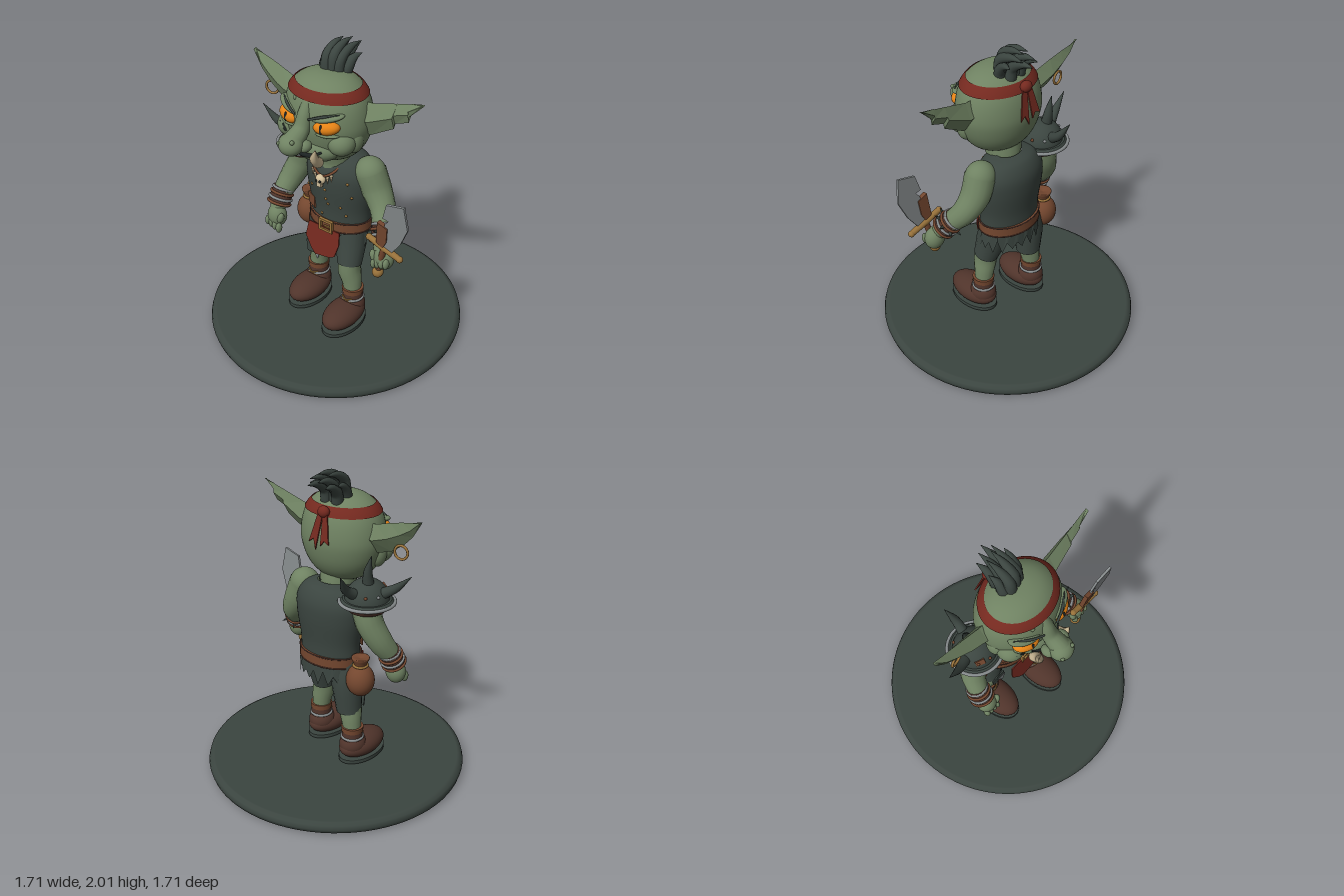
import * as THREE from 'three';

const V = (p) => new THREE.Vector3(...p);
const mat = (name, color) => {
  const m = new THREE.MeshStandardMaterial({ color, side: THREE.DoubleSide });
  m.name = name;
  return m;
};

export function createModel() {
  const skin = mat('green skin', 0x6f8262), cloth = mat('dark cloth', 0x3b4540), boot = mat('boot leather', 0x50342b);
  const brown = mat('brown leather', 0x74472f), red = mat('red cloth', 0x74291f), orange = mat('orange eye', 0xe88416);
  const tan = mat('brass', 0x97713a), bone = mat('bone', 0xd0bd98), steel = mat('steel', 0x858a8b), black = mat('black', 0x1c2222);
  const model = new THREE.Group();

  // ---- helpers ----
  const add = (name, geo, m, pos = [0, 0, 0], rot = [0, 0, 0], scale = [1, 1, 1], parent = model) => {
    const mesh = new THREE.Mesh(geo, m);
    mesh.name = name;
    mesh.position.set(...pos); mesh.rotation.set(...rot); mesh.scale.set(...scale);
    parent.add(mesh);
    return mesh;
  };
  const sphere = new THREE.SphereGeometry(1, 32, 20), bead = new THREE.SphereGeometry(1, 10, 8);
  const ball = (name, m, pos, r, rot) => add(name, sphere, m, pos, rot, r.length ? r : [r, r, r]);
  const dot = (name, m, pos, r) => add(name, bead, m, pos, undefined, [r, r, r]);
  // tube along points, thickness given at each point
  const taper = (name, m, pts, radii, seg = 20, sides = 16, parent = model) => {
    const curve = new THREE.CatmullRomCurve3(pts.map(V));
    const geo = new THREE.TubeGeometry(curve, seg, 1, sides), a = geo.attributes.position, v = new THREE.Vector3();
    for (let i = 0; i < a.count; i++) {
      const t = Math.floor(i / (sides + 1)) / seg, f = t * (radii.length - 1), k = Math.min(Math.floor(f), radii.length - 2);
      const c = curve.getPointAt(t), r = THREE.MathUtils.lerp(radii[k], radii[k + 1], f - k);
      v.fromBufferAttribute(a, i).sub(c).multiplyScalar(r).add(c);
      a.setXYZ(i, v.x, v.y, v.z);
    }
    return add(name, geo, m, undefined, undefined, undefined, parent);
  };
  const plate = (name, m, pts, depth, pos, rot) => add(name, new THREE.ExtrudeGeometry(
    new THREE.Shape(pts.map((p) => new THREE.Vector2(...p))), { depth, bevelEnabled: false }), m, pos, rot);
  const lathe = (pts, n = 48) => new THREE.LatheGeometry(pts.map((p) => new THREE.Vector2(Math.max(p[0], 0), p[1])), n);
  const smooth = (pts, n = 36) => new THREE.SplineCurve(pts.map((p) => new THREE.Vector2(...p))).getPoints(n).map((p) => [p.x, p.y]);
  const ring = (name, m, pos, r, tube, rot = [Math.PI / 2, 0, 0], scale, parent) =>
    add(name, new THREE.TorusGeometry(r, tube, 10, 36), m, pos, rot, scale, parent);
  const radiusAt = (prof, y) => {
    const k = Math.max(1, prof.findIndex((p) => p[1] >= y)), [a, b] = [prof[k - 1], prof[k]];
    return THREE.MathUtils.lerp(a[0], b[0], (y - a[1]) / (b[1] - a[1]));
  };

  // ---- base ----
  add('base', lathe([[0, 0], [0.815, 0], [0.825, 0], [0.848, 0.012], [0.855, 0.037], [0.848, 0.062], [0.825, 0.075], [0.815, 0.075], [0, 0.075]], 80), cloth);

  // ---- legs and boots ----
  for (const s of [1, -1]) {
    const dz = s > 0 ? 0 : -0.09, hem = s > 0 ? 0.51 : 0.44;
    taper('shortsLeg', cloth, [[s * 0.115 + 0.01, 0.8, -0.02], [s * 0.135, 0.66, 0.01 + dz * 0.6], [s * 0.15, hem, 0.05 + dz]], [0.1, 0.1, 0.082]);
    taper('shin', skin, [[s * 0.15, 0.56, 0.05 + dz], [s * 0.155, 0.47, 0.055 + dz], [s * 0.17, 0.38, 0.05 + dz], [s * 0.185, 0.24, 0.05 + dz]], [0.068, 0.077, 0.062, 0.055]);
    add('sole', new THREE.CylinderGeometry(1, 1, 0.025, 40), cloth, [s * 0.18, 0.1, 0.145 + dz], undefined, [0.115, 1, 0.188]);
    ball('boot', boot, [s * 0.18, 0.168, 0.145 + dz], [0.112, 0.082, 0.186]);
    ball('bootHeel', boot, [s * 0.18, 0.195, 0.06 + dz], [0.088, 0.08, 0.095]);
    const c = [s * 0.18, 0, 0.05 + dz];
    add('ankleCuff', new THREE.CylinderGeometry(0.066, 0.07, 0.1, 28), boot, [c[0], 0.27, c[2]]);
    add('ankleBand', new THREE.CylinderGeometry(0.073, 0.071, 0.035, 28), brown, [c[0], 0.315, c[2]]);
    ring('ankleWire', steel, [c[0], 0.255, c[2]], 0.069, 0.009);
    for (const t of [1, -1]) taper('bootLace', tan, [[c[0] - 0.04, 0.26 - t * 0.015, c[2] + 0.062], [c[0], 0.26, c[2] + 0.077], [c[0] + 0.04, 0.26 + t * 0.015, c[2] + 0.062]], [0.005, 0.005], 6, 6);
  }
  plate('kneePatch', cloth, [[-0.06, 0.04], [0.05, 0.05], [0.06, -0.04], [-0.05, -0.05]], 0.008, [-0.15, 0.5, 0.045]);
  plate('kneeScrap', steel, [[-0.04, 0.03], [0.035, 0.02], [0.01, -0.05]], 0.009, [-0.125, 0.47, 0.048]);

  // ---- torso, elliptical in plan ----
  const vest = smooth([[0.2, 0.74], [0.213, 0.82], [0.218, 0.92], [0.243, 1.08], [0.238, 1.19], [0.18, 1.27], [0.09, 1.3]]);
  const TX = 0.02, TZ = -0.03, TS = 0.69;
  const chestZ = (x, y) => TZ + TS * Math.sqrt(Math.max(0, radiusAt(vest, y) ** 2 - (x - TX) ** 2));
  add('vest', lathe(vest), cloth, [TX, 0, TZ], undefined, [1, 1, TS]);
  ball('hips', cloth, [TX, 0.75, TZ], [0.2, 0.09, 0.14]);
  taper('neck', skin, [[0.01, 1.2, 0.03], [0.01, 1.27, 0.03], [0.01, 1.38, 0.05]], [0.09, 0.115, 0.12]);
  // ragged hem, alternating lower points
  const hem = new THREE.CylinderGeometry(0.215, 0.225, 0.1, 22, 1, true, Math.PI * 0.42, Math.PI * 1.16), hp = hem.attributes.position;
  for (let i = 23; i < hp.count; i++) hp.setY(i, -0.05 + (i % 2 ? -0.045 : 0.025) + 0.015 * Math.sin(i * 2.3));
  add('raggedHem', hem.toNonIndexed(), cloth, [TX, 0.745, TZ], undefined, [1, 1, 0.72]).geometry.computeVertexNormals();
  // belt and loincloth
  add('belt', new THREE.CylinderGeometry(0.221, 0.221, 0.068, 48), brown, [TX, 0.805, TZ], undefined, [1, 1, 0.745]);
  for (const y of [0.772, 0.838]) ring('beltEdge', boot, [TX, y, TZ], 0.22, 0.005, undefined, [1, 0.745, 1]);
  const frame = new THREE.Shape([[-0.053, -0.043], [0.053, -0.043], [0.053, 0.043], [-0.053, 0.043]].map((p) => new THREE.Vector2(...p)));
  frame.holes.push(new THREE.Path([[-0.036, -0.026], [-0.036, 0.026], [0.036, 0.026], [0.036, -0.026]].map((p) => new THREE.Vector2(...p))));
  add('buckle', new THREE.ExtrudeGeometry(frame, { depth: 0.02, bevelEnabled: false }), tan, [0.03, 0.807, 0.132]);
  add('bucklePin', new THREE.BoxGeometry(0.045, 0.009, 0.012), tan, [0.045, 0.807, 0.15]);
  plate('loincloth', red, [[-0.125, 0], [0.12, 0], [0.125, -0.09], [0.1, -0.18], [0.065, -0.2], [-0.05, -0.22], [-0.085, -0.19], [-0.14, -0.11]], 0.009, [0.015, 0.785, 0.132], [-0.15, 0, 0]);
  // patches and studs on the vest
  plate('vestPatch', brown, [[-0.045, -0.04], [0.045, -0.042], [0.042, 0.04], [-0.045, 0.038]], 0.009, [-0.125, 0.915, chestZ(-0.125, 0.915) - 0.002], [0, -0.45, 0]);
  for (const [x, y] of [[0.035, 0.965], [0.12, 0.96], [-0.1, 1.06], [0.17, 1.15], [-0.02, 0.87], [0.02, 1.07], [0.02, 1.0], [0.15, 0.9], [-0.16, 1.02], [0.19, 1.05]])
    dot('vestStud', tan, [x, y, chestZ(x, y)], 0.009);
  // skull necklace
  taper('necklaceCord', brown, [[-0.1, 1.27, 0.06], [-0.075, 1.21, 0.128], [0, 1.17, 0.145], [0.075, 1.21, 0.128], [0.11, 1.27, 0.06]], [0.008, 0.008], 24, 8);
  ball('skull', bone, [0, 1.15, 0.155], [0.035, 0.032, 0.026]);
  add('skullJaw', new THREE.BoxGeometry(0.034, 0.028, 0.025), bone, [0, 1.117, 0.162]);
  for (const s of [1, -1]) {
    dot('skullSocket', black, [s * 0.014, 1.147, 0.178], 0.009);
    for (const [x, y] of [[0.05, 1.165], [0.075, 1.185]])
      add('necklaceTooth', new THREE.ConeGeometry(0.011, 0.05, 8), bone, [s * x, y - 0.015, chestZ(s * x, y) + 0.012], [Math.PI, 0, 0]);
  }
  // belt pouch
  ball('pouch', brown, [-0.26, 0.71, -0.06], [0.092, 0.108, 0.09]);
  add('pouchNeck', lathe(smooth([[0.065, 0.78], [0.04, 0.815], [0.058, 0.865], [0.04, 0.87], [0, 0.86]], 16), 24), brown, [-0.26, 0, -0.06]);
  ring('pouchTie', tan, [-0.26, 0.815, -0.06], 0.044, 0.008);

  // ---- arms ----
  const bracer = (pos, dir, spikes) => {
    const g = new THREE.Group();
    g.name = 'bracer';
    g.position.set(...pos);
    g.quaternion.setFromUnitVectors(new THREE.Vector3(0, 1, 0), V(dir).normalize());
    model.add(g);
    add('bracerSleeve', new THREE.CylinderGeometry(0.068, 0.075, 0.12, 28), boot, undefined, undefined, undefined, g);
    [[-0.05, brown, 0.074], [-0.018, steel, 0.073], [0.018, brown, 0.072], [0.05, steel, 0.067]].forEach(([y, m, r]) => ring('bracerBand', m, [0, y, 0], r, 0.009, undefined, undefined, g));
    for (let i = 0; i < spikes; i++) {
      const a = i / spikes * Math.PI * 2, d = [Math.sin(a), 0, Math.cos(a)];
      taper('bracerSpike', cloth, [d.map((v) => v * 0.065), d.map((v) => v * 0.11)], [0.013, 0.001], 2, 8, g);
    }
  };
  taper('rightArm', skin, [[-0.26, 1.22, -0.02], [-0.295, 1.1, -0.02], [-0.345, 0.98, 0.02], [-0.375, 0.87, 0.09], [-0.38, 0.77, 0.14]], [0.09, 0.088, 0.08, 0.066, 0.05]);
  bracer([-0.378, 0.85, 0.1], [0.03, 1, -0.5], 0);
  taper('leftArm', skin, [[0.25, 1.22, -0.02], [0.3, 1.1, -0.025], [0.365, 1, 0], [0.42, 0.91, 0.07], [0.47, 0.81, 0.15]], [0.1, 0.095, 0.08, 0.066, 0.05]);
  ball('leftShoulder', skin, [0.25, 1.215, -0.02], [0.1, 0.1, 0.095]);
  bracer([0.43, 0.895, 0.085], [-0.5, 1, -0.75], 7);
  for (const [x, y, s] of [[-0.37, 0.725, -1], [0.49, 0.775, 1]]) {
    ball('hand', skin, [x, y, 0.155], [0.068, 0.078, 0.06]);
    for (let i = 0; i < 4; i++) ball('finger', skin, [x - 0.045 + i * 0.03, y - 0.035 + 0.01 * s * i, 0.195], [0.019, 0.036, 0.025]);
    ball('thumb', skin, [x - s * 0.055, y + 0.01, 0.185], [0.022, 0.042, 0.024], [0, 0, s * 0.3]);
  }

  // ---- short sword ----
  taper('swordGrip', brown, [[0.47, 0.68, 0.185], [0.52, 0.89, 0.2]], [0.02, 0.02], 4, 12);
  ball('pommel', tan, [0.47, 0.677, 0.185], 0.036);
  taper('swordGuard', tan, [[0.41, 0.925, 0.2], [0.525, 0.89, 0.2], [0.635, 0.857, 0.2]], [0.019, 0.023, 0.019], 8, 14);
  for (const p of [[0.41, 0.925, 0.2], [0.635, 0.857, 0.2]]) ball('guardEnd', tan, p, 0.021);
  plate('blade', steel, [[-0.025, 0], [0.05, -0.02], [0.125, 0.09], [0.18, 0.223], [0.157, 0.38], [0.035, 0.35], [0.005, 0.24], [0.045, 0.235], [0.02, 0.2]], 0.016, [0.52, 0.89, 0.195], [0.1, 0, 0]);
  plate('bladeWrap', brown, [[-0.03, 0.2], [0.04, 0.175], [0.03, 0.07], [0.0, 0.01], [-0.045, 0.04]], 0.03, [0.52, 0.89, 0.188], [0.1, 0, 0]);

  // ---- spiked shoulder guard ----
  const P = [-0.272, 1.25, -0.02];
  add('shoulderDome', new THREE.SphereGeometry(0.138, 32, 14, 0, Math.PI * 2, 0, Math.PI / 2), cloth, P);
  add('shoulderFlange', new THREE.CylinderGeometry(0.15, 0.172, 0.025, 36), cloth, P);
  ring('shoulderRim', steel, [P[0], 1.243, P[2]], 0.17, 0.011);
  add('shoulderLining', new THREE.CylinderGeometry(0.145, 0.115, 0.055, 32), boot, [P[0], 1.215, P[2]]);
  taper('outerSpike', cloth, [[-0.37, 1.31, 0], [-0.45, 1.36, 0.03], [-0.55, 1.455, 0.05]], [0.036, 0.024, 0.001], 10, 12);
  taper('topSpike', cloth, [[-0.295, 1.36, -0.04], [-0.3, 1.44, -0.05], [-0.325, 1.555, -0.05]], [0.038, 0.026, 0.001], 10, 12);
  taper('backSpike', cloth, [[-0.26, 1.31, -0.12], [-0.25, 1.36, -0.19], [-0.27, 1.465, -0.26]], [0.036, 0.026, 0.001], 10, 12);
  for (let i = 0; i < 10; i++) {
    const a = i * Math.PI / 5;
    dot('shoulderStud', i % 3 ? steel : brown, [P[0] + 0.126 * Math.sin(a), 1.31, P[2] + 0.126 * Math.cos(a)], 0.01);
  }
  plate('shoulderPatch', brown, [[-0.03, -0.018], [0.028, -0.022], [0.03, 0.02], [-0.03, 0.018]], 0.009, [-0.33, 1.315, 0.079], [-0.45, -0.5, 0]);

  // ---- head ----
  const skull = smooth([[0, 1.3], [0.1, 1.312], [0.19, 1.36], [0.25, 1.44], [0.282, 1.54], [0.284, 1.62], [0.264, 1.71], [0.225, 1.78], [0.16, 1.83], [0.08, 1.855], [0, 1.86]], 48);
  const HX = 0.005, HZ = 0.075, HS = 0.82;
  const faceZ = (x, y) => HZ + HS * Math.sqrt(Math.max(0, radiusAt(skull, y) ** 2 - (x - HX) ** 2));
  add('head', lathe(skull), skin, [HX, 0, HZ], undefined, [1, 1, HS]);
  const band = [1.747, 1.76, 1.775, 1.79, 1.803].map((y) => [radiusAt(skull, y) + 0.009, y]);
  add('headband', lathe(band), red, [HX, 0, HZ], undefined, [1, 1, HS]);
  ball('headbandKnot', red, [-0.02, 1.775, -0.13], [0.04, 0.036, 0.032]);
  for (const s of [1, -1]) plate('headbandTail', red, [[-0.018, 0], [0.018, 0], [0.034, -0.19], [0.004, -0.16], [-0.03, -0.2 - s * 0.02]], 0.008, [-0.02 + s * 0.018, 1.765, -0.14], [0.2, 0, s * 0.15]);
  ball('muzzle', skin, [HX, 1.425, 0.2], [0.17, 0.092, 0.12]);
  const lipZ = (x, y) => 0.2 + 0.12 * Math.sqrt(Math.max(0, 1 - ((x - HX) / 0.17) ** 2 - ((y - 1.425) / 0.092) ** 2));
  taper('mouth', black, [[-0.11, 1.445], [-0.06, 1.42], [0.005, 1.412], [0.07, 1.42], [0.12, 1.445]].map(([x, y]) => [x, y, lipZ(x, y)]), [0.006, 0.014, 0.016, 0.014, 0.006], 24, 8);
  // nose
  taper('noseBridge', skin, [[0, 1.76, 0.235], [0, 1.67, 0.285], [0, 1.58, 0.325], [0, 1.525, 0.41]], [0.03, 0.043, 0.052, 0.065]);
  ball('noseTip', skin, [-0.003, 1.517, 0.417], [0.076, 0.067, 0.071]);
  for (const [x, y, z] of [[0.04, 1.56, 0.455], [-0.05, 1.53, 0.465], [0.21, 1.43, 0.2], [-0.09, 1.73, 0.265]]) dot('wart', skin, [x, y, z], 0.014);
  for (const s of [1, -1]) {
    ball('nostril', skin, [s * 0.062, 1.505, 0.365], [0.036, 0.036, 0.045]);
    ball('cheek', skin, [s * 0.19, 1.495, 0.19], [0.085, 0.08, 0.085]);
    ball('jowl', skin, [s * 0.235, 1.5, 0.12], [0.05, 0.085, 0.06]);
    // eye with slit pupil under a slanted brow
    ball('eye', orange, [s * 0.138, 1.61, 0.262], [0.082, 0.047, 0.052], [0, s * 0.35, s * 0.12]);
    ball('pupil', black, [s * 0.13, 1.61, 0.308], [0.011, 0.032, 0.01]);
    ball('browRidge', skin, [s * 0.14, 1.667, 0.248], [0.1, 0.024, 0.05], [0, s * 0.4, s * 0.25]);
    taper('eyebrow', cloth, [[0.05, 1.655], [0.12, 1.683], [0.21, 1.7]].map(([x, y]) => [s * x, y, faceZ(s * x, y) + 0.022]), [0.007, 0.009, 0.003], 10, 6);
    ball('lowerLid', skin, [s * 0.14, 1.562, 0.26], [0.075, 0.015, 0.04], [0, s * 0.35, 0]);
    // tusk
    ball('tuskRoot', bone, [s * 0.105, 1.382, 0.305], 0.033);
    taper('tusk', bone, [[s * 0.105, 1.382, 0.305], [s * 0.112, 1.43, 0.345], [s * 0.132, 1.5, 0.36]], [0.034, 0.028, 0.002], 12, 14);
  }
  for (const i of [0, 1]) taper('cheekScar', cloth, [[-0.22 + i * 0.03, 1.53, 0.258 + i * 0.012], [-0.17 + i * 0.01, 1.49, 0.275]], [0.005, 0.005], 3, 6);

  // ---- ears: diamond sections [x, top, bottom, half thickness] ----
  const ear = (name, s, rows) => {
    const pos = [], idx = [];
    rows.forEach(([x, t, b, h]) => {
      const z = 0.055 - 0.06 * (x - 0.2), m = t * 0.5 + b * 0.5;
      pos.push(s * x, t, z - 0.01, s * x, m, z + h, s * x, b, z + 0.01, s * x, m, z - h);
    });
    for (let r = 0; r < rows.length - 1; r++) for (let k = 0; k < 4; k++) {
      const a = r * 4 + k, b = r * 4 + (k + 1) % 4, f = [a, b, a + 4, b, b + 4, a + 4];
      idx.push(...(s > 0 ? f : f.reverse()));
    }
    const g = new THREE.BufferGeometry();
    g.setAttribute('position', new THREE.Float32BufferAttribute(pos, 3));
    g.setIndex(idx);
    add(name, g.toNonIndexed(), skin).geometry.computeVertexNormals();
  };
  ear('leftEar', 1, [[0.2, 1.72, 1.55, 0.05], [0.3, 1.725, 1.525, 0.052], [0.455, 1.768, 1.615, 0.036], [0.46, 1.77, 1.65, 0.03], [0.55, 1.793, 1.685, 0.022], [0.545, 1.795, 1.715, 0.018], [0.635, 1.815, 1.808, 0.002]]);
  ear('rightEar', -1, [[0.2, 1.71, 1.55, 0.05], [0.28, 1.715, 1.53, 0.052], [0.39, 1.75, 1.57, 0.045], [0.48, 1.775, 1.63, 0.032], [0.55, 1.79, 1.7, 0.02], [0.615, 1.81, 1.803, 0.002]]);
  ring('earring', tan, [-0.472, 1.588, 0.04], 0.042, 0.008, [0, 0.2, 0]);

  // ---- swept-back hair spikes: root x, z and tip x, y, z ----
  for (const [x, z, tx, ty, tz] of [[-0.06, 0.03, -0.078, 1.925, -0.07], [-0.03, 0.05, -0.04, 1.99, -0.12], [0.01, 0.04, 0.015, 1.997, -0.14], [0.04, 0.03, 0.05, 1.97, -0.17],
    [0.065, 0, 0.1, 1.925, -0.12], [-0.02, -0.03, -0.03, 1.965, -0.19], [0.03, -0.05, 0.02, 1.945, -0.22], [-0.05, -0.04, -0.07, 1.93, -0.17]])
    taper('hairSpike', cloth, [[x, 1.82, z], [x * 0.7 + tx * 0.3, ty - 0.055, z - 0.015], [x * 0.4 + tx * 0.6, ty - 0.01, z * 0.5 + tz * 0.5], [tx, ty, tz]], [0.038, 0.036, 0.024, 0.001], 14, 12);

  return model;
}
